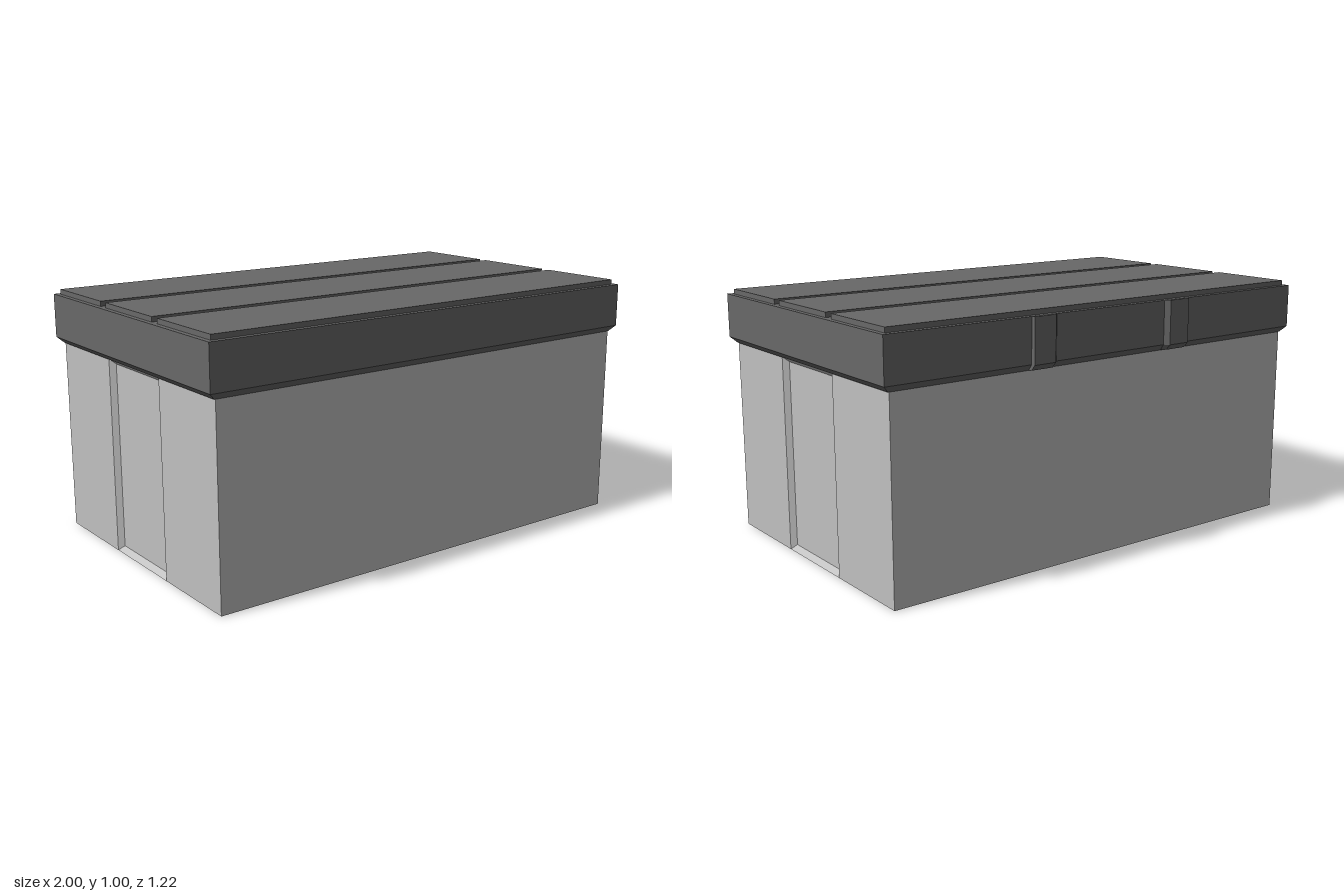
import * as THREE from 'three';

const bodyGrey = new THREE.MeshStandardMaterial({ color: 0xc0c0c0 });
bodyGrey.name = 'light grey';
const lidGrey = new THREE.MeshStandardMaterial({ color: 0x686868 });
lidGrey.name = 'dark grey';

// Joins successive four-cornered rings into a closed, flat-shaded solid
function loft(rings) {
  const pos = [];
  const quad = (a, b, c, d) => pos.push(...a, ...b, ...c, ...a, ...c, ...d);
  for (let r = 0; r < rings.length - 1; r++) {
    for (let i = 0; i < 4; i++) {
      const j = (i + 1) % 4;
      quad(rings[r][i], rings[r][j], rings[r + 1][j], rings[r + 1][i]);
    }
  }
  quad(...[...rings[0]].reverse());
  quad(...rings[rings.length - 1]);
  const geo = new THREE.BufferGeometry();
  geo.setAttribute('position', new THREE.Float32BufferAttribute(pos, 3));
  geo.computeVertexNormals();
  return geo;
}

const ringX = (x, y0, y1, z0, z1) => [[x, y0, z0], [x, y1, z0], [x, y1, z1], [x, y0, z1]];
const ringY = (y, x0, x1, z0, z1) => [[x0, y, z0], [x0, y, z1], [x1, y, z1], [x1, y, z0]];

export function createModel() {
  const model = new THREE.Group();
  model.name = 'storageBox';
  const add = (name, geo, mat) => {
    const mesh = new THREE.Mesh(geo, mat);
    mesh.name = name;
    model.add(mesh);
    return mesh;
  };

  // Body with a shallow sloped recess in each end
  const end = [
    (s) => ringX(s * 0.97, 0, 0.776, -0.573, 0.592),
    (s) => ringX(s * 0.97, 0, 0.776, -0.185, 0.204),
    (s) => ringX(s * 0.95, 0.02, 0.757, -0.165, 0.185),
  ];
  add('body', loft([
    ...[...end].reverse().map((f) => f(-1)),
    ...end.map((f) => f(1)),
  ]), bodyGrey);

  // Lid with a bevelled lower edge
  add('lid', loft([
    ringY(0.776, -0.975, 0.975, -0.573, 0.592),
    ringY(0.8, -1, 1, -0.592, 0.61),
    ringY(0.975, -1, 1, -0.592, 0.61),
  ]), lidGrey);

  // Three raised planks on the lid
  for (const z of [-0.391, 0.009, 0.409]) {
    add('lidPlank', new THREE.BoxGeometry(1.96, 0.03, 0.36), lidGrey).position.set(0, 0.98, z);
  }

  // Two hinge plates on the back, chamfered on their inner side
  for (const s of [-1, 1]) {
    const ring = (y, dz) => {
      const pts = [
        [s * 0.287, y, -0.61 + dz], [s * 0.27, y, -0.592 + dz],
        [s * 0.385, y, -0.592 + dz], [s * 0.385, y, -0.61 + dz],
      ];
      return s > 0 ? pts : pts.reverse();
    };
    add(s > 0 ? 'leftHinge' : 'rightHinge',
      loft([ring(0.778, 0.019), ring(0.8, 0), ring(0.976, 0)]), lidGrey);
  }

  return model;
}
